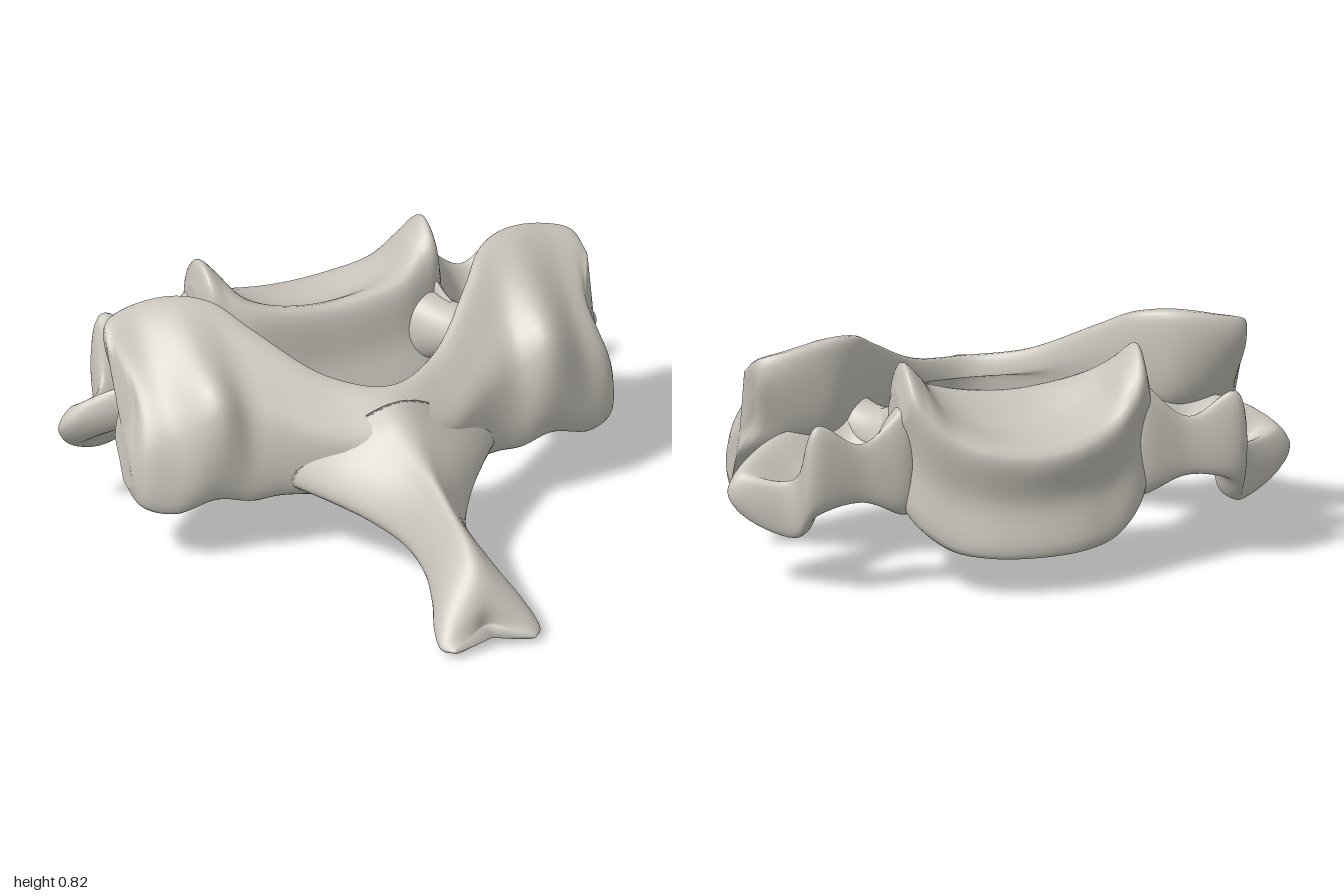
import * as THREE from 'three';

const V = (x, y, z) => new THREE.Vector3(x, y, z);
const mid = (p, q) => [(p[0] + q[0]) / 2, (p[1] + q[1]) / 2];

// Smooth skin through rings of control points; closed joins the last ring to the first
function loft(sections, { ring = 48, steps = 8, closed = false } = {}) {
  const rings = sections.map(s => {
    const c = new THREE.CatmullRomCurve3(s, true);
    return Array.from({ length: ring }, (_, j) => c.getPoint(j / ring));
  });
  const spans = (closed ? sections.length : sections.length - 1) * steps;
  const rows = closed ? spans : spans + 1;
  const points = [], idx = [];
  const columns = rings[0].map((_, j) => new THREE.CatmullRomCurve3(rings.map(r => r[j]), closed));
  for (let i = 0; i < rows; i++) for (const c of columns) points.push(c.getPoint(i / spans));
  for (let i = 0; i < spans; i++) for (let j = 0; j < ring; j++) {
    const i2 = (i + 1) % rows, j2 = (j + 1) % ring;
    const a = i * ring + j, b = i * ring + j2, c = i2 * ring + j2, d = i2 * ring + j;
    idx.push(a, b, c, a, c, d);
  }
  // End caps
  if (!closed) for (const row of [0, rows - 1]) {
    const start = row * ring, k = points.length, centre = V(0, 0, 0);
    for (let j = 0; j < ring; j++) centre.addScaledVector(points[start + j], 1 / ring);
    points.push(centre);
    for (let j = 0; j < ring; j++) {
      const a = start + j, b = start + (j + 1) % ring;
      idx.push(...(row === 0 ? [b, a, k] : [a, b, k]));
    }
  }
  // Turn the faces outward if the enclosed volume comes out negative
  let volume = 0;
  for (let i = 0; i < idx.length; i += 3) {
    volume += points[idx[i]].dot(points[idx[i + 1]].clone().cross(points[idx[i + 2]]));
  }
  if (volume < 0) idx.reverse();
  const g = new THREE.BufferGeometry().setFromPoints(points);
  g.setIndex(idx);
  g.computeVertexNormals();
  return g;
}

// Turns each row (x first) into a ring of [z, y] points, mirrored to the other side;
// waist draws the outer ends in at mid height
function mirroredSections(rows, outline, waist) {
  const pinch = (x, y) => x * (1 - waist * x ** 4 * Math.exp(-(((y - .57) / .09) ** 2)));
  const make = s => rows.map(([x, ...r]) => outline(...r).map(([z, y]) => V(s * pinch(x, y), y, z)));
  return [...make(-1).slice(1).reverse(), ...make(1)];
}

// Front block: top front, ridge, top back, lower back, lower front
function bodyOutline(fz, fy, ridge, bz, by, lbz, lby, lfz, lfy) {
  const front = mid([fz, fy], [lfz, lfy]), under = mid([lbz, lby], [lfz, lfy]);
  return [[fz, fy], [-.69, ridge], [bz, by], mid([bz, by], [lbz, lby]),
    [lbz, lby], [under[0], under[1] + .02], [lfz, lfy], [front[0] + .025, front[1]]];
}
const BODY = [
  [0, -.93, .51, .55, -.52, .625, -.445, .22, -.93, .145],
  [.16, -.912, .53, .575, -.52, .64, -.445, .22, -.912, .15],
  [.28, -.875, .57, .645, -.53, .67, -.45, .24, -.865, .17],
  [.36, -.84, .635, .755, -.56, .71, -.47, .28, -.82, .22],
  [.415, -.8, .7, .805, -.58, .74, -.52, .32, -.77, .28],
  [.445, -.76, .62, .71, -.61, .64, -.57, .38, -.73, .35],
];

// Rear arch: top edge, front wall, notch, lower edge, back wall
function archOutline(tz, ty, fz, nz, lz, ly, bz, by) {
  const low = [lz, ly], notch = [nz, .42], top = [tz, ty], back = [bz, by], slope = mid(top, back);
  return [top, [tz - .028, ty - .07], [fz, .52], notch, mid(notch, low),
    low, [lz + .06, ly + .025], back, [slope[0] + .02, slope[1] + .01]];
}
const ARCH = [
  [0, .01, .58, -.01, .01, .06, .22, .17, .42],
  [.2, -.08, .615, -.095, -.08, 0, .21, .11, .42],
  [.4, -.27, .745, -.28, -.24, -.05, .22, 0, .49],
  [.5, -.38, .815, -.39, -.31, -.06, .215, -.04, .53],
  [.62, -.45, .83, -.46, -.36, -.08, .235, -.02, .6],
  [.77, -.47, .81, -.45, -.36, -.1, .2, -.08, .49],
  [.865, -.44, .78, -.4, -.32, -.15, .22, -.11, .44],
  [.895, -.37, .72, -.35, -.3, -.21, .28, -.17, .4],
];

// Rear spine: z, ridge height, underside, half width, notch depth at the middle
const SPINE = [
  [.03, .56, .23, .38, -.06], [.13, .5, .21, .29, -.02], [.26, .445, .18, .19, 0], [.4, .4, .14, .115, 0],
  [.54, .355, .095, .1, 0], [.7, .305, .05, .135, 0], [.81, .235, .02, .175, .01], [.89, .145, .005, .185, .035],
  [.935, .07, .02, .15, .075],
];
function spineSection([z, top, base, w, notch]) {
  const at = (f, h) => V(f * w, base + h * (top - base), z - notch * (1 - Math.abs(f)));
  const half = s => [at(s * .4, .82), at(s * .85, .47), at(s, .18), at(s * .62, 0)];
  const under = V(0, base + .03, z - notch);
  return [at(0, 1), ...half(1), under, ...half(-1).reverse()];
}

// Rings around the side openings: outer x, outer z, top y, bottom y
const RIM = [
  [.38, -.6, .64, .3], [.39, -.76, .68, .28], [.58, -.77, .55, .34], [.765, -.79, .63, .31],
  [.815, -.66, .41, .2], [1, -.545, .42, .27], [.86, -.45, .5, .34], [.63, -.4, .53, .38], [.44, -.42, .56, .4],
];
function rimSection([x, z, top, base], s) {
  const a = Math.atan2(z + .585, x - .595);
  const ix = .595 + Math.cos(a) * .125, iz = -.585 + Math.sin(a) * .1;
  const at = (f, y) => V(s * (ix + (x - ix) * f), y, iz + (z - iz) * f);
  const m = (top + base) / 2;
  return [at(0, m - .03), at(.25, top - .07), at(.8, top), at(1, m), at(.8, base), at(.25, base + .02)];
}

// Short bridges from body to pillars: x, y, z, half width, half height
const BRIDGE = [[.35, .46, -.57, .1, .14], [.44, .48, -.43, .09, .095], [.53, .52, -.31, .09, .1]];
function bridgeSection([x, y, z, w, h], s) {
  return Array.from({ length: 8 }, (_, k) => {
    const a = k * Math.PI / 4;
    return V(s * (x + Math.cos(a) * w * .8), y + Math.sin(a) * h, z - Math.cos(a) * w * .6);
  });
}

export function createModel() {
  const group = new THREE.Group();
  const bone = new THREE.MeshStandardMaterial({ color: 0xc8c4bb });
  bone.name = 'bone';
  const add = (name, geometry) => {
    const m = new THREE.Mesh(geometry, bone);
    m.name = name;
    group.add(m);
  };

  add('vertebralBody', loft(mirroredSections(BODY, bodyOutline, 0)));
  add('archAndJointPillars', loft(mirroredSections(ARCH, archOutline, .09)));
  add('spinousProcess', loft(SPINE.map(spineSection)));
  for (const [side, s] of [['left', 1], ['right', -1]]) {
    add(side + 'TransverseProcess', loft(RIM.map(r => rimSection(r, s)), { ring: 36, closed: true }));
    add(side + 'Pedicle', loft(BRIDGE.map(b => bridgeSection(b, s)), { ring: 32 }));
  }
  return group;
}
